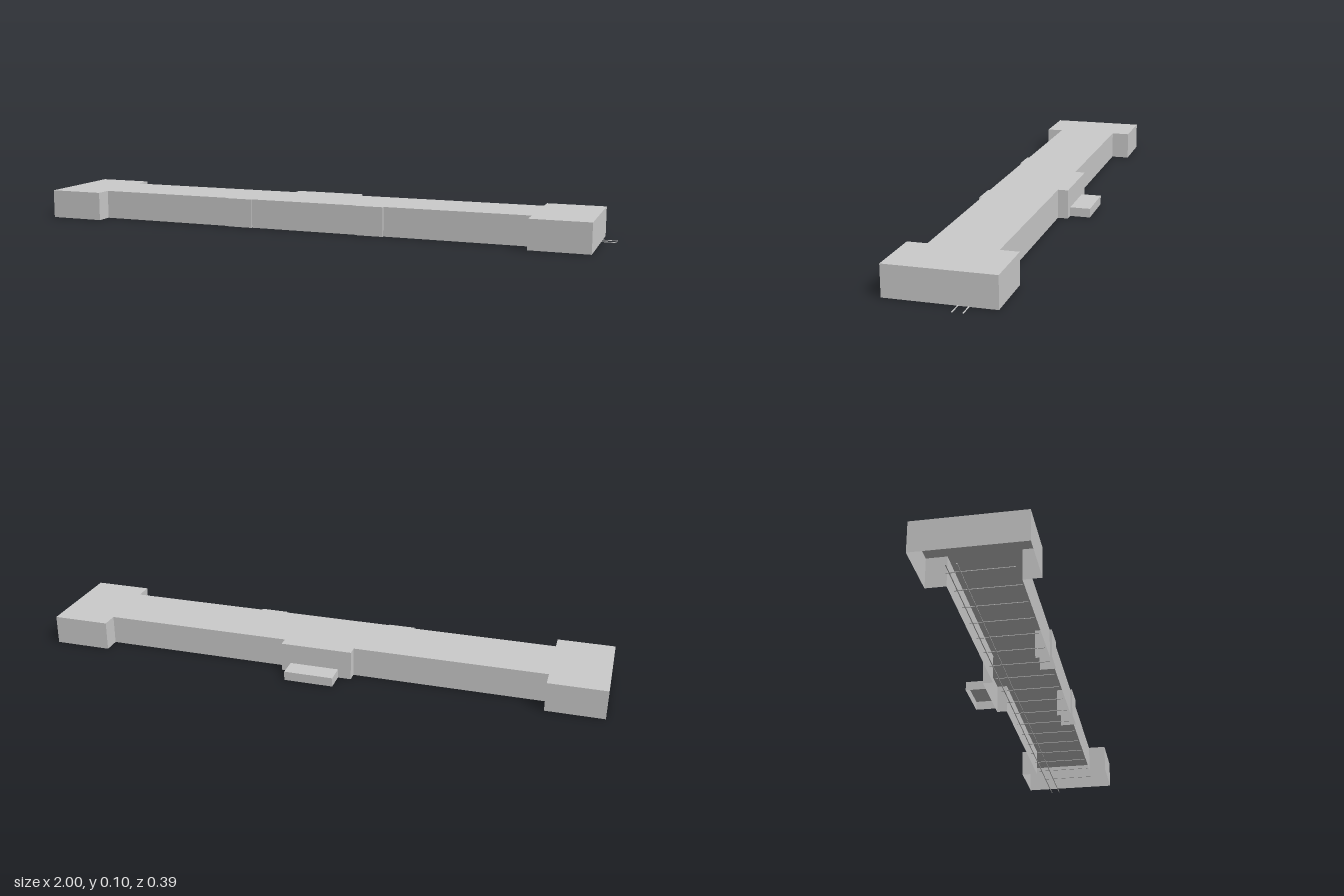
import * as THREE from 'three';

const mat = new THREE.MeshStandardMaterial({ color: 0xcccccc, flatShading: true, side: THREE.DoubleSide });

function add(parent, name, geo, x = 0, y = 0, z = 0) {
  const mesh = new THREE.Mesh(geo, mat);
  mesh.name = name;
  mesh.position.set(x, y, z);
  parent.add(mesh);
  return mesh;
}

// Hollow block, open underneath: one panel per plan edge plus a flat roof.
// Plan corners are [x, z].
function shell(name, plan, height) {
  const group = new THREE.Group();
  group.name = name;
  plan.forEach(([x, z], i) => {
    const [x2, z2] = plan[(i + 1) % plan.length];
    const panel = new THREE.PlaneGeometry(Math.hypot(x2 - x, z2 - z), height);
    const wall = add(group, 'wall', panel, (x + x2) / 2, height / 2, (z + z2) / 2);
    wall.rotation.y = -Math.atan2(z2 - z, x2 - x);
  });
  const shape = new THREE.Shape(plan.map(([x, z]) => new THREE.Vector2(x, -z)));
  add(group, 'roof', new THREE.ShapeGeometry(shape).rotateX(-Math.PI / 2), 0, height, 0);
  return group;
}

export function createModel() {
  const model = new THREE.Group();
  model.name = 'longBuilding';
  const H = 0.1;

  // Long range with two end wings, shallow front bays and a rear projection
  model.add(shell('mainBlock', [
    [-1, 0.188], [-0.805, 0.188], [-0.805, 0.13],
    [-0.31, 0.131], [-0.31, 0.138], [-0.22, 0.138], [-0.22, 0.133],
    [0.165, 0.133], [0.165, 0.139], [0.26, 0.139], [0.26, 0.131],
    [0.752, 0.13], [0.752, 0.194], [0.95, 0.194],
    [0.95, -0.15], [0.752, -0.15], [0.752, -0.09],
    [0.097, -0.09], [0.097, -0.125], [-0.15, -0.125], [-0.15, -0.09],
    [-0.805, -0.09], [-0.805, -0.155], [-1, -0.155],
  ], H));

  // Low rear porch
  model.add(shell('rearPorch', [
    [-0.105, -0.125], [0.065, -0.125], [0.065, -0.195], [-0.105, -0.195],
  ], 0.031));

  // Short partitions inside the front bays
  for (const x of [-0.31, -0.22, 0.165, 0.26]) {
    add(model, 'bayPartition', new THREE.PlaneGeometry(0.05, H).rotateY(Math.PI / 2), x, H / 2, 0.108);
  }

  // Thin ground lines along and across the plan
  for (const z of [-0.065, -0.033]) {
    add(model, 'longGroundLine', new THREE.BoxGeometry(1.92, 0.002, 0.003), 0.04, 0.001, z);
  }
  for (let i = 0; i < 18; i++) {
    add(model, 'crossGroundLine', new THREE.BoxGeometry(0.003, 0.002, 0.2), -0.875 + i * 0.1, 0.001, 0.025);
  }

  return model;
}
